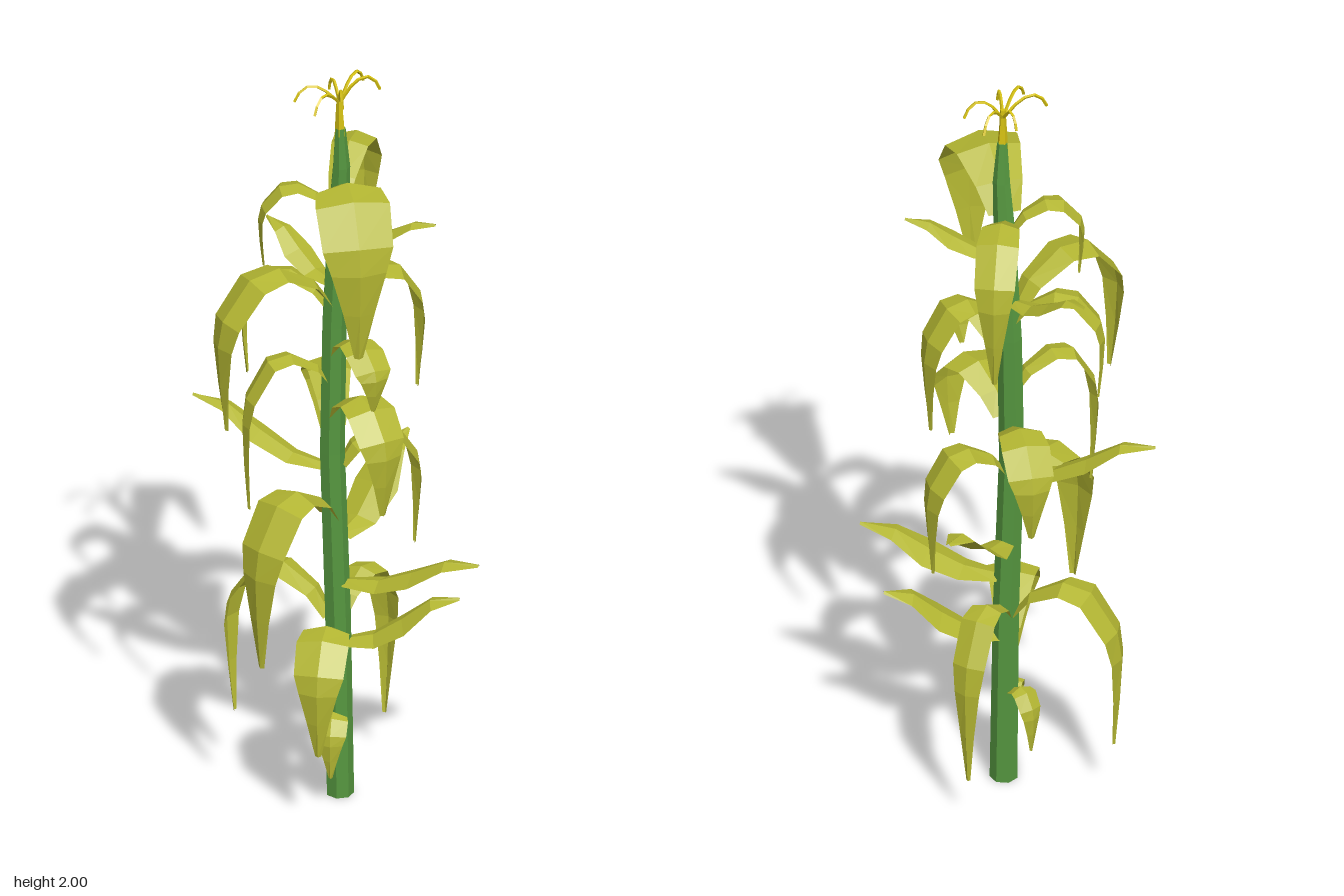
import * as THREE from 'three';

const leafMat = new THREE.MeshStandardMaterial({ color: 0xb3b632, flatShading: true, side: THREE.DoubleSide });
leafMat.name = 'leaf olive';
const stalkMat = new THREE.MeshStandardMaterial({ color: 0x55963f, flatShading: true });
stalkMat.name = 'stalk green';
const tasselMat = new THREE.MeshStandardMaterial({ color: 0xd6c212, flatShading: true });
tasselMat.name = 'tassel yellow';

// Blade with a raised midrib: rows of [radius, y, width] laid along direction (dx, dz)
function blade(dx, dz, rows, name) {
  const len = Math.hypot(dx, dz);
  const ux = dx / len, uz = dz / len;
  const pos = [], idx = [];
  rows.forEach(([r, y, w], i) => {
    const a = rows[Math.max(i - 1, 0)], b = rows[Math.min(i + 1, rows.length - 1)];
    const tr = b[0] - a[0], ty = b[1] - a[1], tl = Math.hypot(tr, ty);
    for (const s of [-1, 0, 1]) {
      const fold = s === 0 ? 0 : 0.1 * w + 0.004; // edges sit below the midrib
      const rr = r + (ty / tl) * fold, yy = y - (tr / tl) * fold;
      pos.push(ux * rr + uz * s * w / 2, yy, uz * rr - ux * s * w / 2);
    }
    if (i > 0) {
      for (let k = 0; k < 2; k++) {
        const p = (i - 1) * 3 + k, q = p + 3;
        idx.push(p, p + 1, q, p + 1, q + 1, q);
      }
    }
  });
  const g = new THREE.BufferGeometry();
  g.setAttribute('position', new THREE.Float32BufferAttribute(pos, 3));
  g.setIndex(idx);
  g.computeVertexNormals();
  const m = new THREE.Mesh(g, leafMat);
  m.name = name;
  return m;
}

// Arching leaf: [fraction of reach, height below peak as fraction of reach, fraction of drop, fraction of width]
const ARCH = [[0.05, 0.38, 0, 0.45], [0.19, 0.17, 0, 0.65], [0.48, 0, 0, 0.88], [0.73, 0, 0.03, 1],
  [0.96, 0, 0.26, 0.95], [1, 0, 0.43, 0.74], [0.98, 0, 0.7, 0.42], [0.94, 0, 1, 0.12]];
function archLeaf([x, z, peak, tip, width]) {
  const reach = Math.hypot(x, z) / 0.94;
  const rows = ARCH.map(([r, sag, d, w]) =>
    [r * reach, peak - sag * reach - d * (peak - tip), w * width]);
  return blade(x, z, rows, 'archingLeaf');
}

// Upswept leaf: [fraction of reach, fraction of rise, fraction of width]
const SWEEP = [[0.06, 0.06, 0.45], [0.3, 0.16, 0.8], [0.53, 0.5, 1], [0.76, 0.92, 0.6], [1, 1, 0.1]];
function sweepLeaf([x, z, base, tip, width]) {
  const reach = Math.hypot(x, z);
  return blade(x, z, SWEEP.map(([r, d, w]) => [r * reach, base + d * (tip - base), w * width]), 'upsweptLeaf');
}

// Tapered stem following points [x, y, z, radius]
function stem(points, sides, material, name) {
  const n = points.length - 1;
  const g = new THREE.CylinderGeometry(1, 1, 1, sides, n);
  const p = g.attributes.position;
  for (let i = 0; i < p.count; i++) {
    const [x, y, z, r] = points[Math.round((p.getY(i) + 0.5) * n)];
    p.setXYZ(i, x + p.getX(i) * r, y, z + p.getZ(i) * r);
  }
  g.computeVertexNormals();
  const m = new THREE.Mesh(g, material);
  m.name = name;
  return m;
}

export function createModel() {
  const plant = new THREE.Group();
  plant.name = 'cornPlant';

  // Slightly crooked stalk
  plant.add(stem([[0.01, 0, 0, 0.035], [0.004, 0.5, 0, 0.033], [-0.01, 0.95, 0, 0.032],
    [-0.005, 1.3, 0, 0.031], [0.008, 1.6, 0.006, 0.028], [0.017, 1.75, 0.014, 0.022],
    [0.016, 1.86, 0.02, 0.013]], 7, stalkMat, 'stalk'));

  // Arching leaves: tip x, tip z, peak height, tip height, width
  const arching = [
    [0.122, 0.27, 1.775, 1.36, 0.185],
    [0, -0.287, 1.735, 1.35, 0.105],
    [-0.172, 0.05, 1.695, 1.47, 0.075],
    [-0.228, 0.215, 1.5, 1.09, 0.12],
    [-0.225, 0, 1.44, 1.14, 0.08],
    [0.18, -0.12, 1.445, 1.09, 0.11],
    [0.135, 0.165, 1.315, 1.16, 0.1],
    [-0.195, 0.11, 1.235, 0.82, 0.08],
    [0.162, 0.178, 1.16, 0.88, 0.13],
    [-0.087, -0.24, 1.115, 0.87, 0.12],
    [0.175, -0.11, 1.0, 0.66, 0.11],
    [-0.135, 0.235, 0.89, 0.45, 0.145],
    [-0.272, -0.065, 0.605, 0.16, 0.11],
    [0.075, -0.21, 0.575, 0.12, 0.09],
    [0.01, 0.235, 0.525, 0.22, 0.13],
    [-0.068, -0.07, 0.29, 0.125, 0.065],
    [0.01, 0.102, 0.25, 0.09, 0.08],
  ];
  arching.forEach((a) => plant.add(archLeaf(a)));

  // Upswept leaves: tip x, tip z, base height, tip height, width
  const upswept = [
    [0.255, 0.017, 1.54, 1.62, 0.08],
    [-0.207, -0.147, 1.41, 1.503, 0.085],
    [-0.37, -0.05, 0.9, 1.038, 0.095],
    [0.112, -0.292, 0.7, 0.875, 0.125],
    [0.368, 0.038, 0.59, 0.697, 0.12],
    [0.3, -0.045, 0.42, 0.553, 0.125],
  ];
  upswept.forEach((u) => plant.add(sweepLeaf(u)));

  // Tassel: short spike and drooping threads
  const tassel = new THREE.Group();
  tassel.name = 'tassel';
  tassel.add(stem([[0.016, 1.84, 0.02, 0.014], [0.015, 1.9, 0.022, 0.01],
    [0.015, 1.955, 0.022, 0.007]], 5, tasselMat, 'tasselSpike'));
  const threads = [[0.05, -0.08, 1.985], [0.105, -0.025, 1.995], [0.035, 0.08, 1.985],
    [-0.025, 0.12, 1.98], [-0.088, 0.068, 1.985], [-0.025, -0.035, 1.975]];
  for (const [x, z, top] of threads) {
    const at = (t, y) => new THREE.Vector3(0.015 + (x - 0.015) * t, y, 0.022 + (z - 0.022) * t);
    const curve = new THREE.CatmullRomCurve3([at(0, 1.93), at(0.35, top - 0.015),
      at(0.65, top), at(0.88, top - 0.015), at(1, top - 0.04)]);
    const thread = new THREE.Mesh(new THREE.TubeGeometry(curve, 6, 0.0042, 4), tasselMat);
    thread.name = 'tasselThread';
    tassel.add(thread);
  }
  plant.add(tassel);
  return plant;
}
